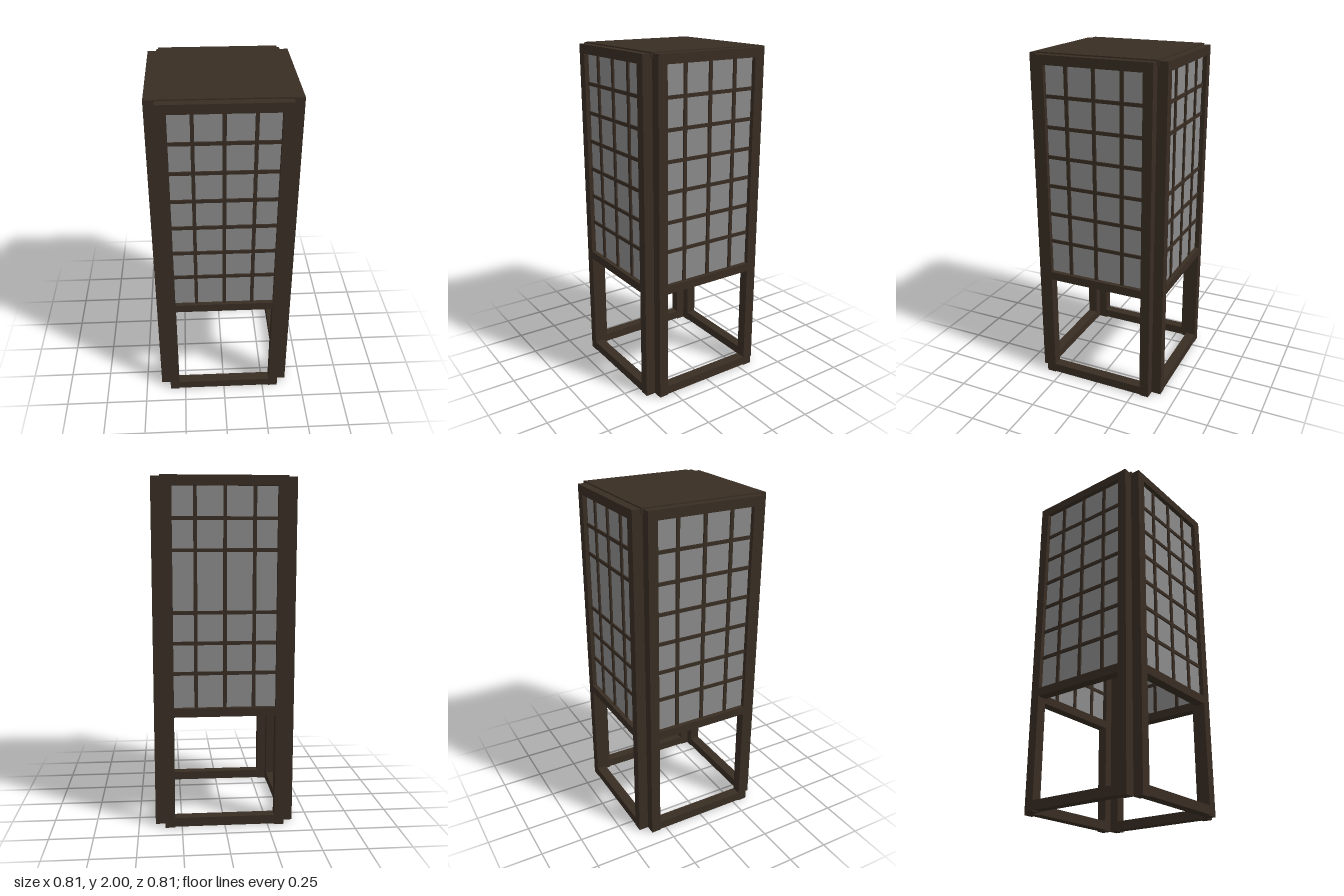
import * as THREE from 'three';

const wood = new THREE.MeshStandardMaterial({ color: 0x382d23 });
wood.name = 'dark wood';
const paper = new THREE.MeshStandardMaterial({ color: 0x8a8a8a });
paper.name = 'grey paper';

const HALF = 0.346;   // half width of a side frame
const OPEN = 0.29;    // half width of the opening
const DEPTH = 0.06;   // frame thickness
const TOP = 1.993;    // frame height
const WINDOW = [0.71, 1.94];

// box given by its limits in x and y, centred on z = 0
function slab(parent, name, x0, x1, y0, y1, depth, material = wood) {
  const mesh = new THREE.Mesh(new THREE.BoxGeometry(x1 - x0, y1 - y0, depth), material);
  mesh.position.set((x0 + x1) / 2, (y0 + y1) / 2, 0);
  mesh.name = name;
  parent.add(mesh);
}

// one lattice side: stiles, rails, paper and bars; skip leaves one bar out
function makeSide(name, skip = -1) {
  const side = new THREE.Group();
  side.name = name;
  slab(side, 'leftStile', OPEN, HALF, 0, TOP, DEPTH);
  slab(side, 'rightStile', -HALF, -OPEN, 0, TOP, DEPTH);
  slab(side, 'bottomRail', -OPEN, OPEN, 0.005, 0.058, DEPTH);
  slab(side, 'middleRail', -OPEN, OPEN, 0.66, WINDOW[0], DEPTH);
  slab(side, 'topRail', -OPEN, OPEN, WINDOW[1], TOP, DEPTH);
  slab(side, 'paperPanel', -OPEN, OPEN, WINDOW[0], WINDOW[1], 0.006, paper);
  for (const x of [-0.164, 0, 0.164]) {
    slab(side, 'verticalBar', x - 0.01, x + 0.01, WINDOW[0], WINDOW[1], 0.026);
  }
  for (let i = 0; i < 6; i++) {
    if (i === skip) continue;
    const y = 1.768 - i * 0.172;
    slab(side, 'horizontalBar', -OPEN, OPEN, y - 0.01, y + 0.01, 0.024);
  }
  return side;
}

export function createModel() {
  const model = new THREE.Group();
  model.name = 'latticeLantern';

  // four sides around the square; the back has one bar fewer
  ['front', 'left', 'back', 'right'].forEach((label, i) => {
    const side = makeSide(label + 'Side', label === 'back' ? 2 : -1);
    const angle = (i * Math.PI) / 2;
    const r = 0.374;
    side.rotation.y = angle;
    side.position.set(Math.sin(angle) * r, 0, Math.cos(angle) * r);
    model.add(side);
  });

  // flat lid lapping over the inner edges of the frames
  const lid = new THREE.Mesh(new THREE.BoxGeometry(0.71, 0.03, 0.71), wood);
  lid.position.y = 1.985;
  lid.name = 'lid';
  model.add(lid);

  return model;
}
